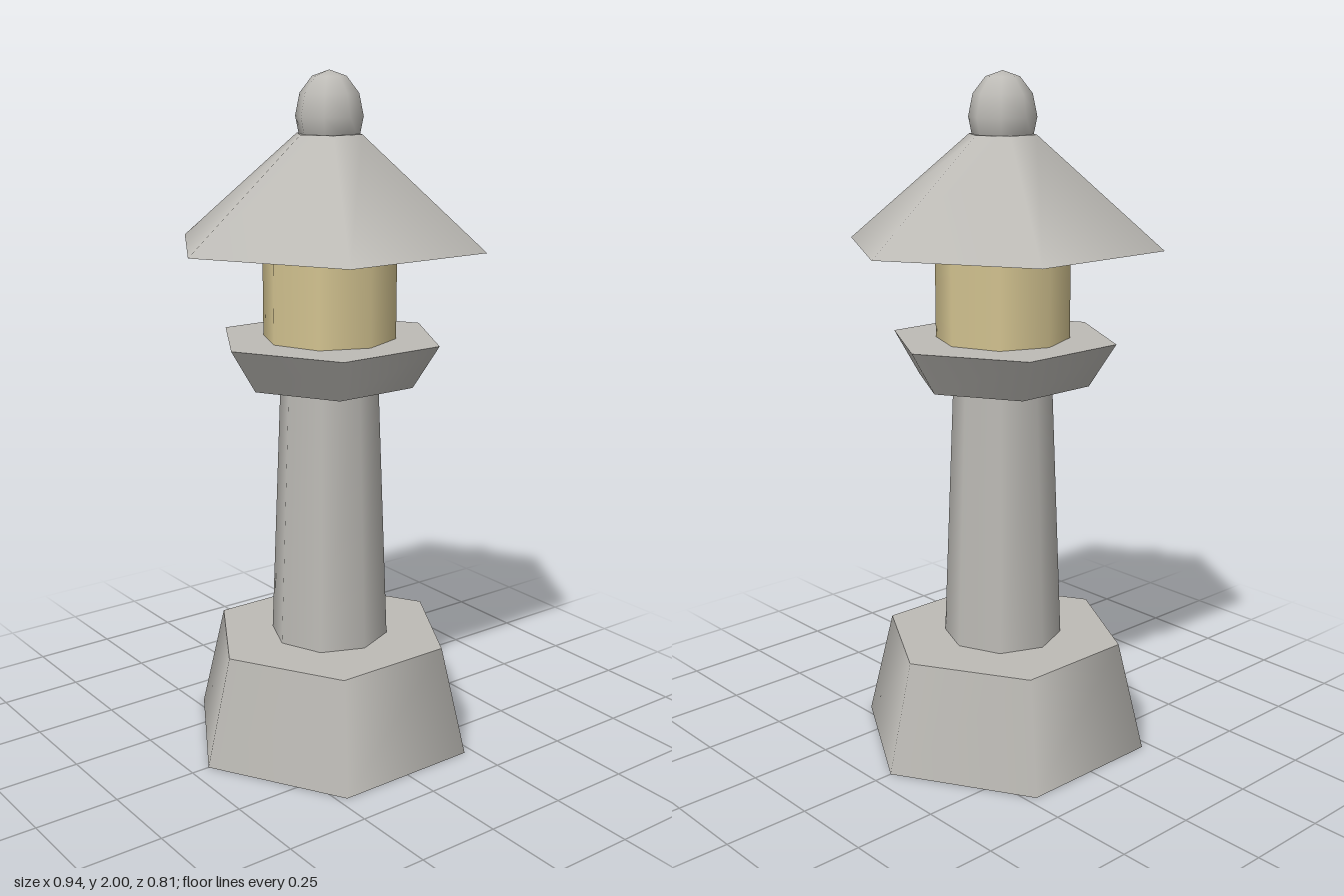
import * as THREE from 'three';

const stone = new THREE.MeshStandardMaterial({ color: 0xbdbbb6 });
stone.name = 'stone';
const glow = new THREE.MeshStandardMaterial({ color: 0xd4c491 });
glow.name = 'lanternGlow';

export function createModel() {
  const group = new THREE.Group();
  group.name = 'stoneLantern';

  // Tapered prism between two heights; hexagons have corners on the x axis
  function prism(name, sides, rBottom, rTop, y0, y1, material) {
    const start = sides === 6 ? Math.PI / 6 : 0;
    const geometry = new THREE.CylinderGeometry(rTop, rBottom, y1 - y0, sides, 1, false, start);
    const mesh = new THREE.Mesh(geometry, material);
    mesh.name = name;
    mesh.position.y = (y0 + y1) / 2;
    group.add(mesh);
  }

  prism('base', 6, 0.445, 0.365, 0, 0.327, stone);
  prism('shaft', 8, 0.177, 0.145, 0.327, 1.117, stone);
  prism('platform', 6, 0.26, 0.339, 1.117, 1.245, stone);
  prism('lightBox', 8, 0.195, 0.195, 1.245, 1.517, glow);
  prism('roof', 6, 0.47, 0.1, 1.517, 1.826, stone);

  // Egg-shaped finial
  const finial = new THREE.Mesh(new THREE.SphereGeometry(0.097, 8, 6), stone);
  finial.name = 'finial';
  finial.scale.y = 1.3;
  finial.position.y = 2 - 0.097 * 1.3;
  group.add(finial);

  return group;
}
